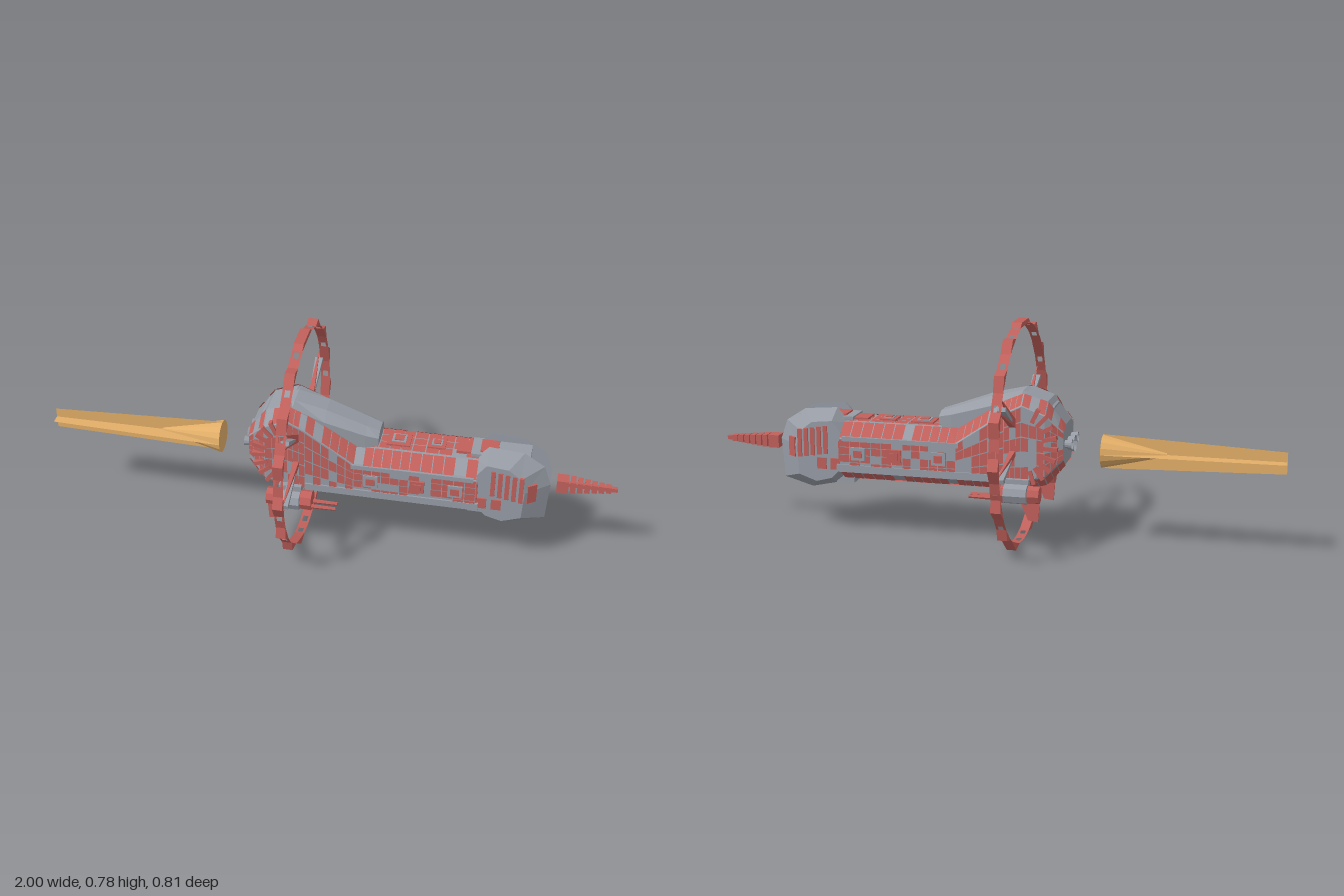
import * as THREE from 'three';

const mat = (name, color) => {
  const m = new THREE.MeshStandardMaterial({ color, flatShading: true, side: THREE.DoubleSide });
  m.name = name;
  return m;
};

export function createModel() {
  const root = new THREE.Group();
  root.name = 'spaceship';
  const red = mat('panelRed', 0xc1605b);
  const gray = mat('hullGray', 0x979ca5);
  const orange = mat('exhaustOrange', 0xe2ae68);

  let seed = 7;
  const rand = () => (seed = (seed * 16807) % 2147483647) / 2147483647;

  const add = (name, geo, m, parent = root) => {
    const mesh = new THREE.Mesh(geo, m);
    mesh.name = name;
    parent.add(mesh);
    return mesh;
  };
  const box = (name, m, x, y, z, w, h, d, parent = root) => {
    const b = add(name, new THREE.BoxGeometry(w, h, d), m, parent);
    b.position.set(x, y, z);
    return b;
  };
  const shape = (pts) => new THREE.Shape(pts.map(p => new THREE.Vector2(...p)));
  const fromTris = (pos) => {
    const g = new THREE.BufferGeometry();
    g.setAttribute('position', new THREE.Float32BufferAttribute(pos, 3));
    g.computeVertexNormals();
    return g;
  };
  const quad = (out, a, b, c, d) => [a, b, c, a, c, d].forEach(p => out.push(p.x, p.y, p.z));

  // Hull sections: x, top y, top z, shoulder y, side z, lower y, bottom y, bottom z
  const ring = ([x, yt, zt, ys, zs, yl, yb, zb]) => {
    const half = [[zt, yt], [zs, ys], [zs, yl], [zb, yb]];
    return [...half, ...half.slice().reverse().map(([z, y]) => [-z, y])]
      .map(([z, y]) => new THREE.Vector3(x, y, z));
  };
  const loft = (rings) => {
    const out = [], n = rings[0].length, last = rings.length - 1;
    for (let i = 0; i < last; i++)
      for (let j = 0; j < n; j++)
        quad(out, rings[i][j], rings[i][(j + 1) % n], rings[i + 1][(j + 1) % n], rings[i + 1][j]);
    for (let j = 1; j < n - 1; j++) {
      [rings[last][0], rings[last][j], rings[last][j + 1], rings[0][0], rings[0][j + 1], rings[0][j]]
        .forEach(p => out.push(p.x, p.y, p.z));
    }
    return fromTris(out);
  };
  const rings = [
    [-0.26, 0.44, 0.05, 0.42, 0.09, 0.33, 0.30, 0.05],
    [-0.20, 0.52, 0.06, 0.48, 0.115, 0.27, 0.23, 0.06],
    [-0.12, 0.545, 0.07, 0.51, 0.115, 0.25, 0.21, 0.065],
    [-0.06, 0.52, 0.07, 0.48, 0.115, 0.25, 0.21, 0.065],
    [0.11, 0.41, 0.06, 0.365, 0.115, 0.25, 0.21, 0.065],
    [0.30, 0.41, 0.06, 0.36, 0.115, 0.25, 0.21, 0.065],
    [0.53, 0.41, 0.06, 0.36, 0.115, 0.25, 0.21, 0.065],
  ].map(ring);
  add('hull', loft(rings), gray);

  // Plating: a grid of thin panels floated just above one hull face, some left bare
  const plates = [];
  const plating = (i, j, nx, ny, keep) => {
    const [a, b, c, d] = [rings[i][j], rings[i][(j + 1) % 8], rings[i + 1][(j + 1) % 8], rings[i + 1][j]];
    const normal = b.clone().sub(a).cross(d.clone().sub(a)).normalize().multiplyScalar(0.004);
    const at = (u, v) => a.clone().lerp(d, u).lerp(b.clone().lerp(c, u), v).add(normal);
    for (let p = 0; p < nx; p++)
      for (let q = 0; q < ny; q++) {
        if (rand() > keep) continue;
        const u0 = (p + 0.04) / nx, u1 = (p + 0.96) / nx;
        const v0 = (q + 0.04) / ny, v1 = (q + 0.96) / ny;
        quad(plates, at(u0, v0), at(u0, v1), at(u1, v1), at(u1, v0));
      }
  };
  for (const [upper, flank, lower] of [[0, 1, 2], [6, 5, 4]])
    for (let i = 0; i < 6; i++) {
      const n = i < 3 ? 3 : 6;
      plating(i, upper, n, 1, i < 3 ? 0.3 : 0.9);
      plating(i, flank, n, i < 3 ? 5 : 4, 0.74);
      plating(i, lower, n, 1, 0.82);
    }
  for (let i = 2; i < 6; i++) plating(i, 3, 5, 3, 0.88);
  for (let i = 4; i < 6; i++) plating(i, 7, 5, 3, 0.85);
  add('hullPlating', fromTris(plates), red);

  // Dorsal fairing sloping down to the spine
  add('dorsalFairing', loft([
    [-0.22, 0.50, 0.04, 0.495, 0.055, 0.48, 0.47, 0.05],
    [-0.11, 0.55, 0.035, 0.54, 0.075, 0.50, 0.49, 0.07],
    [0.00, 0.525, 0.035, 0.495, 0.07, 0.44, 0.42, 0.06],
    [0.14, 0.475, 0.03, 0.455, 0.062, 0.39, 0.38, 0.05],
    [0.185, 0.46, 0.025, 0.445, 0.055, 0.42, 0.415, 0.045],
  ].map(ring)), gray);

  // Spine details
  for (const [x, s] of [[0.25, 0.08], [0.38, 0.06]]) {
    box('hatchBase', red, x, 0.413, 0, s, 0.012, s);
    box('hatchLid', gray, x, 0.416, 0, s * 0.6, 0.012, s * 0.6);
    box('hatchKnob', red, x, 0.419, 0, s * 0.4, 0.012, s * 0.4);
  }
  box('spineBlock', red, 0.48, 0.414, 0, 0.06, 0.012, 0.07);

  // Parts repeated on both flanks
  for (const s of [1, -1]) {
    const flank = new THREE.Group();
    flank.name = s > 0 ? 'frontFlank' : 'backFlank';
    flank.scale.z = s;
    root.add(flank);

    // Long gray beams, side equipment and the red forward bulkhead
    box('upperBeam', gray, 0.31, 0.361, 0.113, 0.42, 0.016, 0.014, flank);
    box('lowerBeam', gray, 0.24, 0.255, 0.113, 0.60, 0.026, 0.016, flank);
    for (const [i, x] of [0.17, 0.33, 0.46].entries()) {
      box('sideBox', i % 2 ? red : gray, x, 0.31, 0.118, 0.05, 0.045, 0.012, flank);
      box('sideBoxCover', red, x, 0.31, 0.122, 0.03, 0.025, 0.012, flank);
    }
    box('bulkheadPanel', red, 0.531, 0.30, 0.093, 0.008, 0.10, 0.04, flank);

    // Curved fan of ribs around the stern
    for (let i = 0; i < 9; i++) {
      const a = 2.0 + i * 0.3;
      const rib = box('sternRib', red, -0.13 + Math.cos(a) * 0.09, 0.375 + Math.sin(a) * 0.115, 0.110, 0.05, 0.014, 0.022, flank);
      rib.rotation.z = a;
    }

    // Angled cheek plate of the bow with a few panels
    const cheek = shape([
      [0.51, 0.40], [0.56, 0.455], [0.68, 0.445], [0.75, 0.40], [0.775, 0.33],
      [0.765, 0.19], [0.66, 0.16], [0.57, 0.18], [0.51, 0.23],
    ]);
    const cg = new THREE.ExtrudeGeometry(cheek, { depth: 0.062, bevelEnabled: false });
    const cp = cg.attributes.position;
    for (let i = 0; i < cp.count; i++)
      if (cp.getZ(i) > 0.03) {
        cp.setX(i, 0.56 + (cp.getX(i) - 0.56) * 0.62);
        cp.setY(i, 0.31 + (cp.getY(i) - 0.31) * 0.75);
      }
    cg.translate(0, 0, 0.042);
    cg.computeVertexNormals();
    add('bowCheek', cg, gray, flank);
    for (let i = 0; i < 5; i++)
      box('cheekRib', red, 0.585 + i * 0.024, 0.35 - i * 0.004, 0.104, 0.015, 0.10, 0.009, flank);
    for (const x of [0.55, 0.60]) box('cheekPanel', red, x, 0.265, 0.104, 0.034, 0.04, 0.009, flank);
    box('frontCheekPanel', red, 0.715, 0.315, 0.086, 0.035, 0.07, 0.009, flank).rotation.y = 0.6;

    // Underslung pod with barrels and a hanging fin
    const pod = add('pod', new THREE.CylinderGeometry(0.036, 0.03, 0.16, 8), red, flank);
    pod.rotation.z = -Math.PI / 2;
    pod.position.set(-0.11, 0.21, 0.133);
    const shell = add('podShell', new THREE.CylinderGeometry(0.034, 0.034, 0.08, 8), gray, flank);
    shell.rotation.z = Math.PI / 2;
    shell.position.set(-0.11, 0.213, 0.146);
    for (const z of [0.118, 0.148]) {
      const barrel = add('podBarrel', new THREE.CylinderGeometry(0.006, 0.008, 0.1, 6), red, flank);
      barrel.rotation.z = -Math.PI / 2;
      barrel.position.set(0.005, 0.195, z);
    }
    box('podPylon', gray, -0.11, 0.24, 0.12, 0.08, 0.04, 0.03, flank);
    const fin = shape([[-0.185, 0.115], [-0.15, 0.12], [-0.12, 0.19], [-0.19, 0.19]]);
    add('podFin', new THREE.ExtrudeGeometry(fin, { depth: 0.006, bevelEnabled: false }), red, flank).position.z = 0.13;

    // Spokes reaching toward the ring: z0, y0, z1, y1, base radius, tip radius, depth
    for (const [z0, y0, z1, y1, r0, r1, m, deep] of [
      [0.10, 0.445, 0.28, 0.57, 0.014, 0.001, red, 1.2], [0.10, 0.44, 0.30, 0.525, 0.014, 0.001, red, 1.2],
      [0.10, 0.44, 0.275, 0.535, 0.005, 0.011, gray, 1.8],
      [0.10, 0.35, 0.33, 0.315, 0.013, 0.001, red, 1.2], [0.10, 0.35, 0.30, 0.28, 0.013, 0.001, red, 1.2],
      [0.10, 0.345, 0.305, 0.297, 0.005, 0.011, gray, 1.8],
    ]) {
      const dir = new THREE.Vector3(0, y1 - y0, z1 - z0);
      const g = new THREE.CylinderGeometry(r1, r0, dir.length(), 4, 1, false, Math.PI / 4);
      g.scale(deep, 1, 1);
      const spoke = add('ringSpoke', g, m, flank);
      spoke.rotation.x = Math.atan2(dir.z, dir.y);
      spoke.position.set(-0.09, (y0 + y1) / 2, (z0 + z1) / 2);
    }
  }

  // Bow core between the cheeks
  box('bowCore', gray, 0.60, 0.305, 0, 0.20, 0.24, 0.10);
  box('bowCorePanel', red, 0.56, 0.425, 0, 0.06, 0.012, 0.07);
  box('emitterMount', red, 0.72, 0.31, 0, 0.06, 0.055, 0.055);

  // Stepped square spike ahead of the bow
  const spike = new THREE.Group();
  spike.name = 'bowSpike';
  spike.position.y = 0.31;
  root.add(spike);
  box('spikeBase', red, 0.815, 0, 0, 0.04, 0.046, 0.046, spike);
  for (let i = 0; i < 6; i++) {
    const h = 0.043 - i * 0.004;
    box('spikeBlock', red, 0.85 + i * 0.024, 0, 0, 0.018, h, h, spike);
  }
  box('spikeRod', red, 0.905, 0, 0, 0.19, 0.014, 0.014, spike);

  // Stern nozzles
  for (const [y, z, r] of [[0.365, 0, 0.03], [0.375, 0.055, 0.018], [0.375, -0.055, 0.018]]) {
    const nozzle = add('nozzle', new THREE.CylinderGeometry(r * 0.7, r, 0.03, 12, 1, true), gray);
    nozzle.rotation.z = -Math.PI / 2;
    nozzle.position.set(-0.27, y, z);
  }

  // Ring: two rails bridged by short bands and wedge segments
  const hoop = new THREE.Group();
  hoop.name = 'ring';
  hoop.position.set(-0.09, 0.39, 0);
  root.add(hoop);
  const band = (name, x, width, start, length) => {
    const arc = add(name, new THREE.CylinderGeometry(0.382, 0.382, width, Math.ceil(length * 8), 1, true, start, length), red, hoop);
    arc.rotation.z = Math.PI / 2;
    arc.position.x = x;
  };
  for (const x of [-0.013, 0.013]) band('ringRail', x, 0.008, 0, Math.PI * 2);
  for (let i = 0; i < 32; i++) band('ringBand', 0, 0.034, i * Math.PI / 16, 0.12);
  const polar = (deg, r) => {
    const a = THREE.MathUtils.degToRad(deg);
    return [Math.sin(a) * r, Math.cos(a) * r];
  };
  const wedge = (pts) => {
    const g = new THREE.ExtrudeGeometry(shape(pts), { depth: 0.034, bevelEnabled: false });
    g.translate(0, 0, -0.017);
    g.rotateY(Math.PI / 2);
    add('ringSegment', g, red, hoop);
  };
  for (let i = 0; i < 7; i++)
    for (const s of [1, -1]) {
      const a = 28 + i * 22.5;
      wedge([polar(s * (a - 6.5), 0.381), polar(s * (a - 1), 0.404), polar(s * (a + 6.5), 0.383)]);
    }
  for (const s of [1, -1]) wedge([polar(s * 149, 0.383), polar(s * 162, 0.405), polar(s * 164, 0.38)]);
  wedge([[-0.075, 0.378], [-0.05, 0.394], [0.05, 0.394], [0.075, 0.378]]);

  // Exhaust: a short cone with two crossed tapering sheets
  const plume = new THREE.Group();
  plume.name = 'exhaustPlume';
  plume.position.y = 0.343;
  root.add(plume);
  const cone = add('plumeCone', new THREE.CylinderGeometry(0.058, 0.006, 0.22, 16), orange, plume);
  cone.rotation.z = -Math.PI / 2;
  cone.position.x = -0.49;
  const sheet = shape([[-1, -0.042], [-0.38, -0.06], [-0.38, 0.06], [-1, 0.034]]);
  for (const turn of [0, Math.PI / 2]) add('plumeSheet', new THREE.ShapeGeometry(sheet), orange, plume).rotation.x = turn;

  return root;
}
